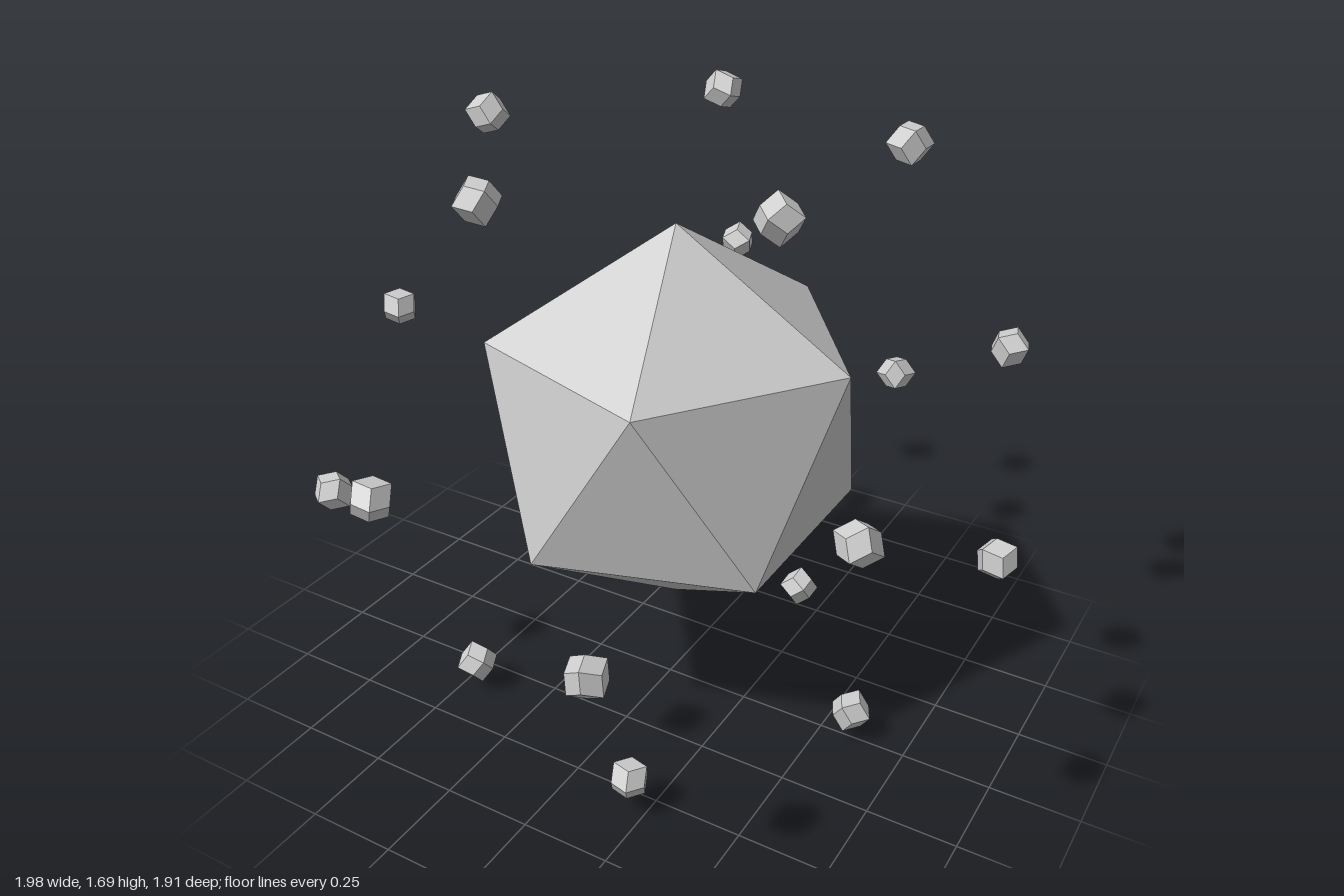
import * as THREE from 'three';
import { ConvexGeometry } from 'three/addons/geometries/ConvexGeometry.js';

const CENTER = new THREE.Vector3(0.01, 0.86, -0.01);
const RADIUS = 0.565;

// Twenty-sided solid standing on one corner: two poles and two staggered rings of five
function icosahedron(radius) {
  const points = [new THREE.Vector3(0, radius, 0), new THREE.Vector3(0, -radius, 0)];
  const ringY = radius / Math.sqrt(5);
  for (let i = 0; i < 10; i++) {
    const a = (i * Math.PI) / 5;
    points.push(new THREE.Vector3(2 * ringY * Math.cos(a), i % 2 ? -ringY : ringY, 2 * ringY * Math.sin(a)));
  }
  return new ConvexGeometry(points);
}

// Twelve rhombic faces: six axis corners and eight cube corners
function rhombicDodecahedron(radius) {
  const points = [];
  const h = radius / 2;
  for (const s of [-1, 1]) {
    points.push(
      new THREE.Vector3(s * radius, 0, 0),
      new THREE.Vector3(0, s * radius, 0),
      new THREE.Vector3(0, 0, s * radius)
    );
    for (const t of [-1, 1]) for (const u of [-1, 1]) points.push(new THREE.Vector3(s * h, t * h, u * h));
  }
  return new ConvexGeometry(points);
}

// Slightly uneven shell of satellites, one outside each face of the large die
const RINGS = {
  topSatellite: [
    [0.47, 1.63, 0.34], [-0.175, 1.62, 0.555], [-0.575, 1.625, -0.015], [-0.16, 1.62, -0.565], [0.505, 1.63, -0.315],
  ],
  upperSatellite: [
    [0.785, 1.02, 0.54], [-0.26, 1.0, 0.905], [-0.94, 0.99, 0], [-0.28, 1.03, -0.905], [0.75, 1.03, -0.56],
  ],
  lowerSatellite: [
    [0.935, 0.71, -0.02], [0.31, 0.71, 0.89], [-0.77, 0.67, 0.525], [-0.765, 0.725, -0.56], [0.3, 0.695, -0.905],
  ],
  bottomSatellite: [
    [0.585, 0.09, -0.005], [0.205, 0.11, 0.56], [-0.455, 0.09, 0.35], [-0.49, 0.1, -0.315], [0.175, 0.06, -0.52],
  ],
};

export function createModel() {
  const group = new THREE.Group();
  const material = new THREE.MeshStandardMaterial({ color: 0xcccccc, flatShading: true });

  // Large central die
  const die = new THREE.Mesh(icosahedron(RADIUS), material);
  die.name = 'centralDie';
  die.position.copy(CENTER);
  group.add(die);

  // Small satellites, each with a three-faced corner turned away from the centre
  const satellite = rhombicDodecahedron(0.062);
  const corner = new THREE.Vector3(1, 1, 1).normalize();
  for (const [name, places] of Object.entries(RINGS)) {
    places.forEach((place, i) => {
      const mesh = new THREE.Mesh(satellite, material);
      mesh.name = name + (i + 1);
      mesh.position.set(...place);
      const outward = mesh.position.clone().sub(CENTER).normalize();
      mesh.quaternion.setFromUnitVectors(corner, outward);
      group.add(mesh);
    });
  }
  return group;
}
